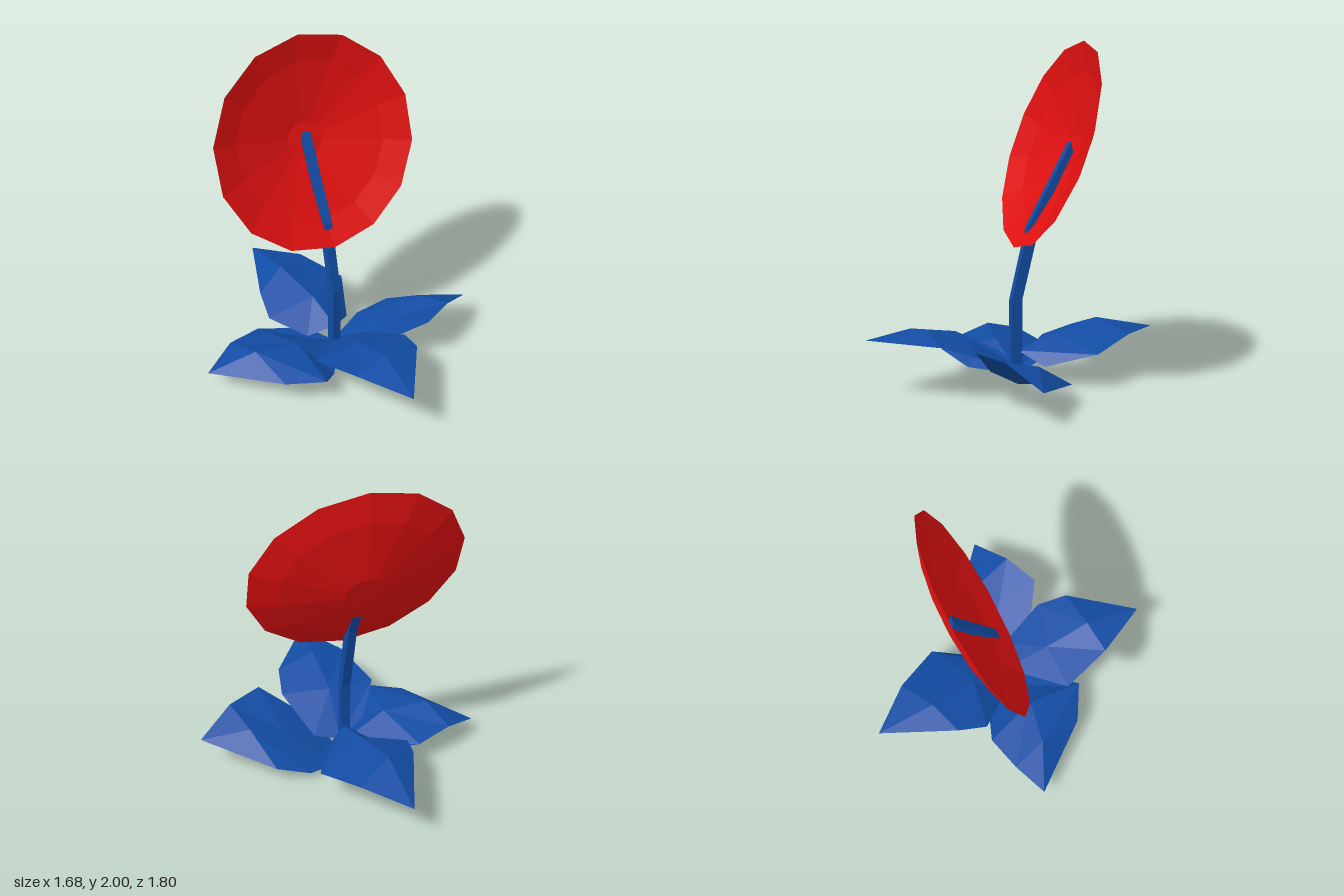
import * as THREE from 'three';

const blue = new THREE.MeshStandardMaterial({ color: 0x124ca4, flatShading: true, side: THREE.DoubleSide });
const red = new THREE.MeshStandardMaterial({ color: 0xe01010, flatShading: true, side: THREE.DoubleSide });

// Skin a surface over rows of points; every row has the same number of points.
function loft(name, rows, material) {
  const pos = [];
  const tri = (a, b, c) => {
    const p = [a, b, c].map((v) => new THREE.Vector3(...v));
    if (new THREE.Triangle(...p).getArea() > 1e-7) pos.push(...a, ...b, ...c);
  };
  for (let i = 0; i < rows.length - 1; i++) {
    for (let j = 0; j < rows[i].length - 1; j++) {
      const a = rows[i][j], b = rows[i + 1][j], c = rows[i + 1][j + 1], d = rows[i][j + 1];
      tri(a, b, d);
      tri(b, c, d);
    }
  }
  const geo = new THREE.BufferGeometry();
  geo.setAttribute('position', new THREE.Float32BufferAttribute(pos, 3));
  geo.computeVertexNormals();
  const mesh = new THREE.Mesh(geo, material);
  mesh.name = name;
  return mesh;
}

// A leaf: rows of edge, midrib, edge from base to tip, closing in a point.
const leaf = (name, rows, tip) => loft(name, [...rows, [tip, tip, tip]], blue);

export function createModel() {
  const model = new THREE.Group();
  model.name = 'flower';
  const cx = -0.03;

  // Blossom: shallow fourteen-sided dish, tilted to face forward and up
  const profile = [[0, -0.152], [0.11, -0.152], [0.47, -0.065], [0.63, 0]];
  const blossom = new THREE.Mesh(
    new THREE.LatheGeometry(profile.map(([r, y]) => new THREE.Vector2(r, y)), 14), red);
  blossom.name = 'blossom';
  blossom.position.set(cx, 1.407, -0.193);
  blossom.rotation.x = 1.227;
  model.add(blossom);

  // Stem: square section given by front and back edge [y, z] at each bend
  const w = 0.026;
  const bends = [
    [[0.05, 0.04], [0.05, -0.026]],
    [[0.5, 0.04], [0.51, -0.026]],
    [[0.93, -0.06], [0.98, -0.14]],
    [[1.42, -0.32], [1.36, -0.335]],
  ];
  const sections = bends.map(([f, b]) => [
    [cx - w, ...f], [cx - w, ...b], [cx + w, ...b], [cx + w, ...f], [cx - w, ...f],
  ]);
  const cap = ([f, b]) => Array(5).fill([cx, (f[0] + b[0]) / 2, (f[1] + b[1]) / 2]);
  model.add(loft('stem', [cap(bends[0]), ...sections, cap(bends[3])], blue));

  // Four drooping leaves around the foot of the stem
  model.add(leaf('frontLeaf', [
    [[-0.17, 0.17, 0.07], [0, 0.1, 0], [0.15, 0.12, 0.05]],
    [[-0.31, 0.27, 0.3], [-0.02, 0.28, 0.28], [0.27, 0.26, 0.34]],
    [[-0.2, 0.335, 0.6], [0, 0.375, 0.56], [0.24, 0.32, 0.52]],
  ], [-0.02, 0.33, 0.9]));

  model.add(leaf('leftLeaf', [
    [[0.1, 0.12, 0.2], [0, 0, 0], [0.07, 0.01, -0.12]],
    [[0.41, 0.325, 0.375], [0.33, 0.18, 0.08], [0.25, 0.05, -0.2]],
    [[0.62, 0.315, 0.27], [0.55, 0.26, 0.06], [0.45, 0.11, -0.17]],
  ], [0.84, 0.2, 0.13]));

  model.add(leaf('rightLeaf', [
    [[-0.12, 0.1, -0.17], [0, 0.06, 0], [-0.17, 0.08, 0.26]],
    [[-0.42, 0.15, -0.26], [-0.3, 0.21, 0.05], [-0.29, 0.17, 0.39]],
    [[-0.64, 0.18, -0.19], [-0.57, 0.24, 0.02], [-0.51, 0.165, 0.285]],
  ], [-0.84, 0.11, -0.08]));

  model.add(leaf('backLeaf', [
    [[0.13, 0.13, -0.12], [-0.02, 0.2, 0], [-0.17, 0.12, -0.08]],
    [[0.25, 0.21, -0.4], [-0.05, 0.28, -0.23], [-0.34, 0.2, -0.26]],
    [[0.09, 0.275, -0.66], [-0.12, 0.34, -0.53], [-0.31, 0.26, -0.44]],
  ], [-0.14, 0.255, -0.9]));

  return model;
}
